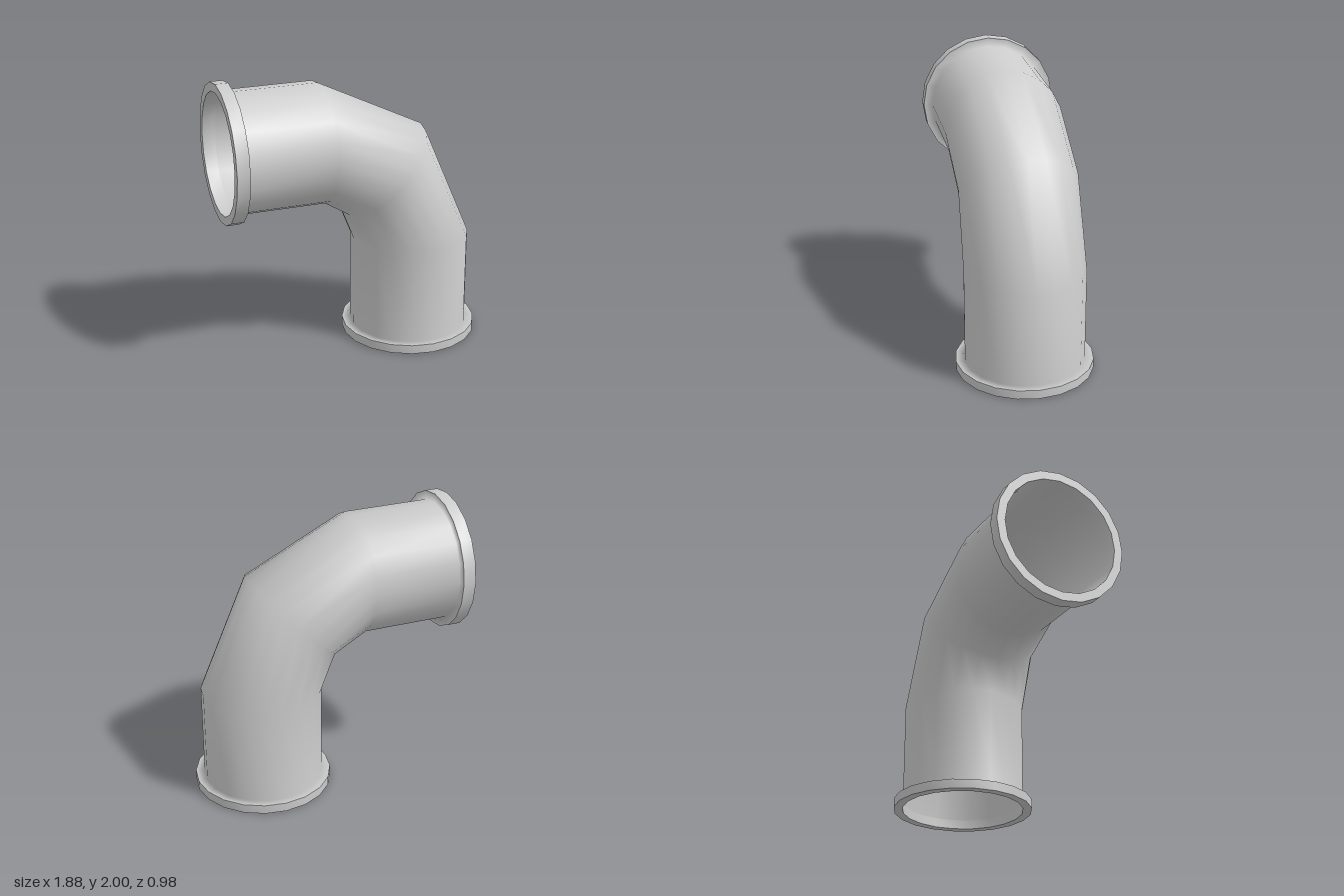
import * as THREE from 'three';

const SIDES = 20;
const PIPE_R = 0.425, RIM_R = 0.4875;
const AXIS_Y = 1.5125, AXIS_X = 0.4525;

// One cross-section: centre (x, y), tilt of its in-plane axis, radius
const section = (x, y, tilt, r) => ({ x, y, tilt, r });

// Skin a row of cross-sections; normals are smooth along the whole skin
function loft(sections) {
  const pos = [], index = [];
  for (const s of sections) {
    for (let j = 0; j < SIDES; j++) {
      const a = (j / SIDES) * Math.PI * 2, h = Math.cos(a) * s.r;
      pos.push(s.x + h * Math.cos(s.tilt), s.y + h * Math.sin(s.tilt), Math.sin(a) * s.r);
    }
  }
  for (let i = 0; i < sections.length - 1; i++) {
    for (let j = 0; j < SIDES; j++) {
      const a = i * SIDES + j, b = i * SIDES + (j + 1) % SIDES;
      index.push(a, b, a + SIDES, b, b + SIDES, a + SIDES);
    }
  }
  const geo = new THREE.BufferGeometry();
  geo.setAttribute('position', new THREE.Float32BufferAttribute(pos, 3));
  geo.setIndex(index);
  geo.computeVertexNormals();
  return geo;
}

export function createModel() {
  const model = new THREE.Group();
  model.name = 'pipeElbow';
  const mat = new THREE.MeshStandardMaterial({ color: 0xcccccc, side: THREE.DoubleSide });
  const add = (parent, name, sections) => {
    const mesh = new THREE.Mesh(loft(sections), mat);
    mesh.name = name;
    parent.add(mesh);
  };

  // Sections across the horizontal inlet and the vertical outlet
  const inlet = (x, r) => section(x, AXIS_Y, Math.PI / 2, r);
  const outlet = (y, r) => section(AXIS_X, y, 0, r);

  // Bent pipe, blending into the flange shoulder at each end
  add(model, 'elbowPipe', [
    inlet(-0.855, RIM_R),
    inlet(-0.855, PIPE_R),
    inlet(-0.235, PIPE_R),
    section(0.2325, 1.27, Math.PI / 4, 0.416),
    outlet(0.75, PIPE_R),
    outlet(0.065, PIPE_R),
    outlet(0.065, RIM_R),
  ]);

  // Flanges: bore, end face and rim as separate skins for sharp edges
  const addFlange = (name, at, end, shoulder, reversed) => {
    const flange = new THREE.Group();
    flange.name = name;
    const bands = {
      Bore: [at(shoulder, PIPE_R), at(end, PIPE_R)],
      EndFace: [at(end, PIPE_R), at(end, RIM_R)],
      Rim: [at(end, RIM_R), at(shoulder, RIM_R)],
    };
    for (const [part, band] of Object.entries(bands)) {
      add(flange, name + part, reversed ? band.reverse() : band);
    }
    model.add(flange);
  };
  addFlange('inletFlange', inlet, -0.945, -0.855, false);
  addFlange('outletFlange', outlet, 0, 0.065, true);

  return model;
}
